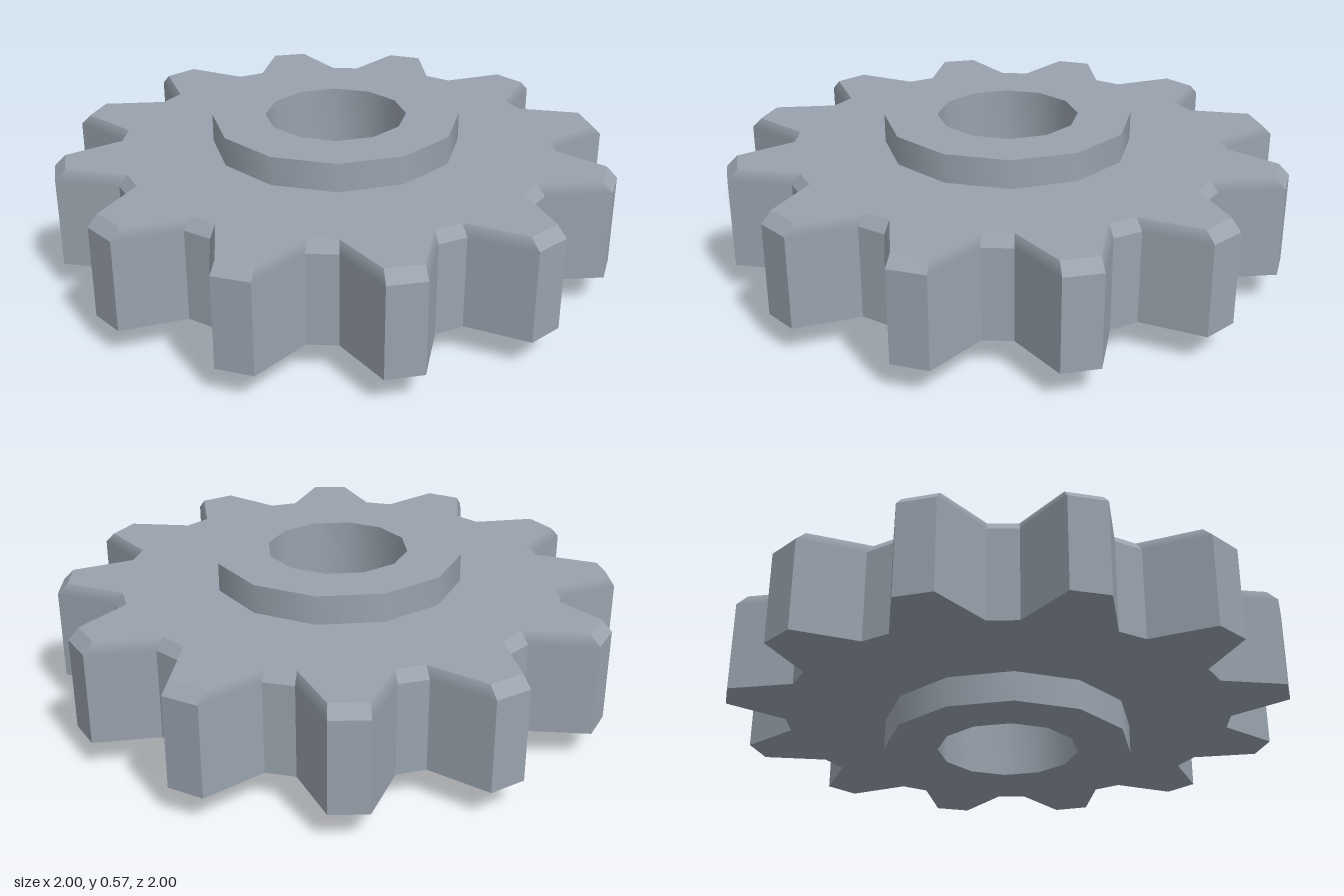
import * as THREE from 'three';
import { toCreasedNormals } from 'three/addons/utils/BufferGeometryUtils.js';

const TEETH = 12;
const ROOT = 0.807, TIP = 1.009;            // valley and tooth-tip radii
const HUB = 0.446, BORE = 0.254;            // hub and shaft-hole radii
const HEIGHT = 0.575;                       // hub height
const BASE = 0.107, SHOULDER = 0.434, TOP = 0.472; // toothed disc levels
const CHAMFER = 0.9625;                     // shrink of the disc's top outline

const polar = (r, a) => new THREE.Vector2(r * Math.sin(a), r * Math.cos(a));

// Toothed disc: extruded outline whose top layer is drawn in to form a chamfer
function toothedDisc() {
  const outline = [];
  const step = Math.PI * 2 / TEETH;
  for (let i = 0; i < TEETH; i++) {
    [ROOT, ROOT, TIP, TIP].forEach((r, k) => outline.push(polar(r, (i + k / 4) * step)));
  }
  const shape = new THREE.Shape(outline);
  const hole = [];
  for (let i = 0; i < TEETH; i++) hole.push(polar(0.42, i * step));
  shape.holes.push(new THREE.Path(hole));   // opening hidden inside the hub

  const extruded = new THREE.ExtrudeGeometry(shape, { depth: 2, steps: 2, bevelEnabled: false });
  const levels = [BASE, SHOULDER, TOP];
  const p = extruded.attributes.position;
  for (let i = 0; i < p.count; i++) {
    const layer = Math.round(p.getZ(i));
    const s = layer === 2 ? CHAMFER : 1;
    p.setXYZ(i, p.getX(i) * s, p.getY(i) * s, levels[layer]);
  }
  extruded.rotateX(-Math.PI / 2);

  // Tooth flanks stay flat and blend only within the chamfer
  const geo = toCreasedNormals(extruded, Math.PI / 6);
  const n = geo.attributes.normal;
  const v = new THREE.Vector3();
  for (let i = 0; i < n.count; i++) {
    v.fromBufferAttribute(n, i);
    if (Math.abs(v.y) < 0.3) {
      v.setY(0).normalize();
      n.setXYZ(i, v.x, v.y, v.z);
    }
  }
  return geo;
}

// Hub: twelve-sided sleeve with a through hole
function hubSleeve() {
  const profile = [[BORE, 0], [HUB, 0], [HUB, HEIGHT], [BORE, HEIGHT], [BORE, 0]];
  const geo = new THREE.LatheGeometry(profile.map(([r, y]) => new THREE.Vector2(r, y)), 12);
  return toCreasedNormals(geo, Math.PI / 4);
}

export function createModel() {
  const group = new THREE.Group();
  group.name = 'gear';
  const material = new THREE.MeshStandardMaterial({ color: 0x99a2ad }); // blue-grey steel
  const add = (name, geo) => {
    const mesh = new THREE.Mesh(geo, material);
    mesh.name = name;
    group.add(mesh);
  };
  add('toothedDisc', toothedDisc());
  add('hub', hubSleeve());
  return group;
}
